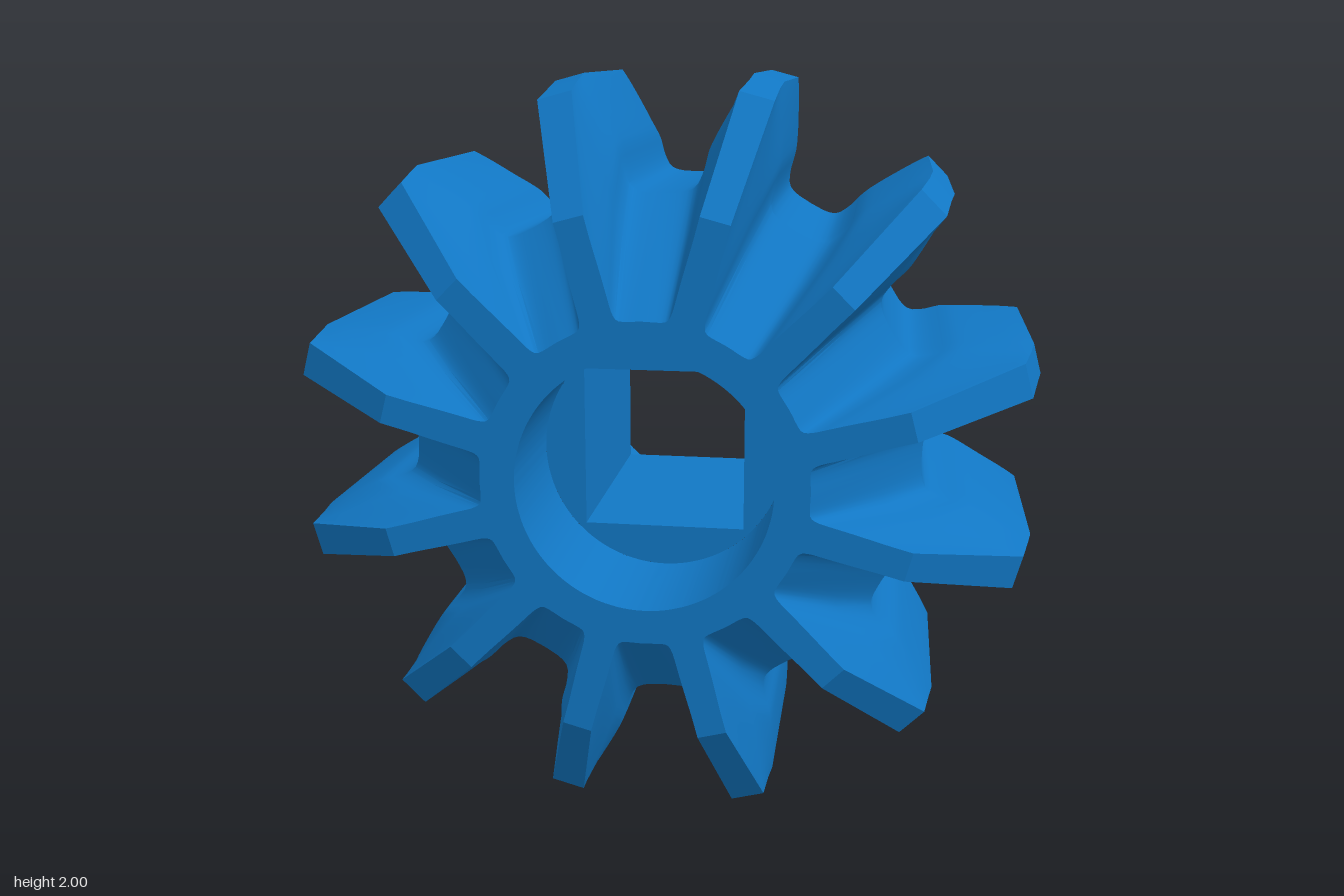
import * as THREE from 'three';
import { toCreasedNormals } from 'three/addons/utils/BufferGeometryUtils.js';

const TEETH = 12, STEPS = 18, BORE = 0.33, BACK = -0.475, FRONT = 0.6, WEB_FRONT = 0.24;
const V = (x, y) => new THREE.Vector2(x, y);

// Half a tooth gap: degrees from the gap centre, height as a fraction from floor to tip
const fullGap = new THREE.SplineCurve([
  V(0, 0), V(4.1, 0.015), V(6.8, 0.075), V(8, 0.22), V(8.4, 0.38),
  V(9.3, 0.52), V(10.6, 0.7), V(11.7, 0.86), V(12.7, 1)]);
const noseGap = new THREE.SplineCurve([
  V(0, 0), V(5, 0), V(8.3, 0.02), V(9.6, 0.1), V(10.1, 0.23),
  V(10.6, 0.41), V(11.1, 0.6), V(11.5, 0.78), V(11.8, 1)]);

// One outline of the gear; blend goes from the full tooth to the narrow nose
function gearRing({ z, floor, tip, blend }) {
  const half = [];
  for (let i = 0; i <= STEPS; i++) {
    half.push(fullGap.getPoint(i / STEPS).lerp(noseGap.getPoint(i / STEPS), blend));
  }
  const gap = [...half.slice(1).reverse().map(p => V(-p.x, p.y)), ...half];
  const ring = [];
  for (let t = 0; t < TEETH; t++) {
    for (const p of gap) {
      const a = THREE.MathUtils.degToRad(t * 360 / TEETH + p.x);
      const r = floor + (tip - floor) * p.y;
      ring.push([r * Math.cos(a), r * Math.sin(a), z]);
    }
  }
  return ring;
}

const circleRing = (z, r) => gearRing({ z, floor: r, tip: r, blend: 0 });

// Skin of quads between successive closed rings
function loft(rings) {
  const n = rings[0].length, index = [];
  for (let i = 0; i < rings.length - 1; i++) {
    for (let j = 0; j < n; j++) {
      const k = (j + 1) % n;
      const a = i * n + j, b = a + n, c = (i + 1) * n + k, d = i * n + k;
      index.push(a, b, c, a, c, d);
    }
  }
  const geo = new THREE.BufferGeometry();
  geo.setAttribute('position', new THREE.Float32BufferAttribute(rings.flat(2), 3));
  geo.setIndex(index);
  return toCreasedNormals(geo, 0.5);
}

export function createModel() {
  const model = new THREE.Group();
  model.name = 'pinionGear';
  const material = new THREE.MeshStandardMaterial({ color: 0x1177c4 });
  const add = (name, geometry) => {
    const mesh = new THREE.Mesh(geometry, material);
    mesh.name = name;
    mesh.position.y = 1;
    model.add(mesh);
  };

  // Toothed body: front bore, front face, tapered nose, teeth, back chamfer, back face
  add('toothedBody', loft([
    circleRing(WEB_FRONT, BORE),
    circleRing(FRONT, BORE),
    ...[
      { z: FRONT, floor: 0.42, tip: 0.69, blend: 1 },
      { z: 0.385, floor: 0.587, tip: 0.984, blend: 0.4 },
      { z: 0.24, floor: 0.695, tip: 1.01, blend: 0 },
      { z: 0.15, floor: 0.695, tip: 1.025, blend: 0 },
      { z: -0.42, floor: 0.695, tip: 1.025, blend: 0 },
      { z: BACK, floor: 0.695, tip: 0.975, blend: 0 },
    ].map(gearRing),
    circleRing(BACK, 0.54),
  ]));

  // Raised collar on the back
  const collar = new THREE.LatheGeometry(
    [V(BORE, BACK), V(BORE, -0.6), V(0.55, -0.6), V(0.55, BACK)], 96);
  collar.rotateX(Math.PI / 2);
  add('backCollar', toCreasedNormals(collar, 0.5));

  // Web with the square shaft hole
  const web = new THREE.Shape().absarc(0, 0, BORE, 0, Math.PI * 2);
  const s = 0.22;
  web.holes.push(new THREE.Path([V(-s, -s), V(-s, s), V(s, s), V(s, -s)]));
  const webGeo = new THREE.ExtrudeGeometry(web,
    { depth: WEB_FRONT - BACK, bevelEnabled: false, curveSegments: 64 });
  webGeo.translate(0, 0, BACK);
  add('squareHoleWeb', webGeo);

  return model;
}
